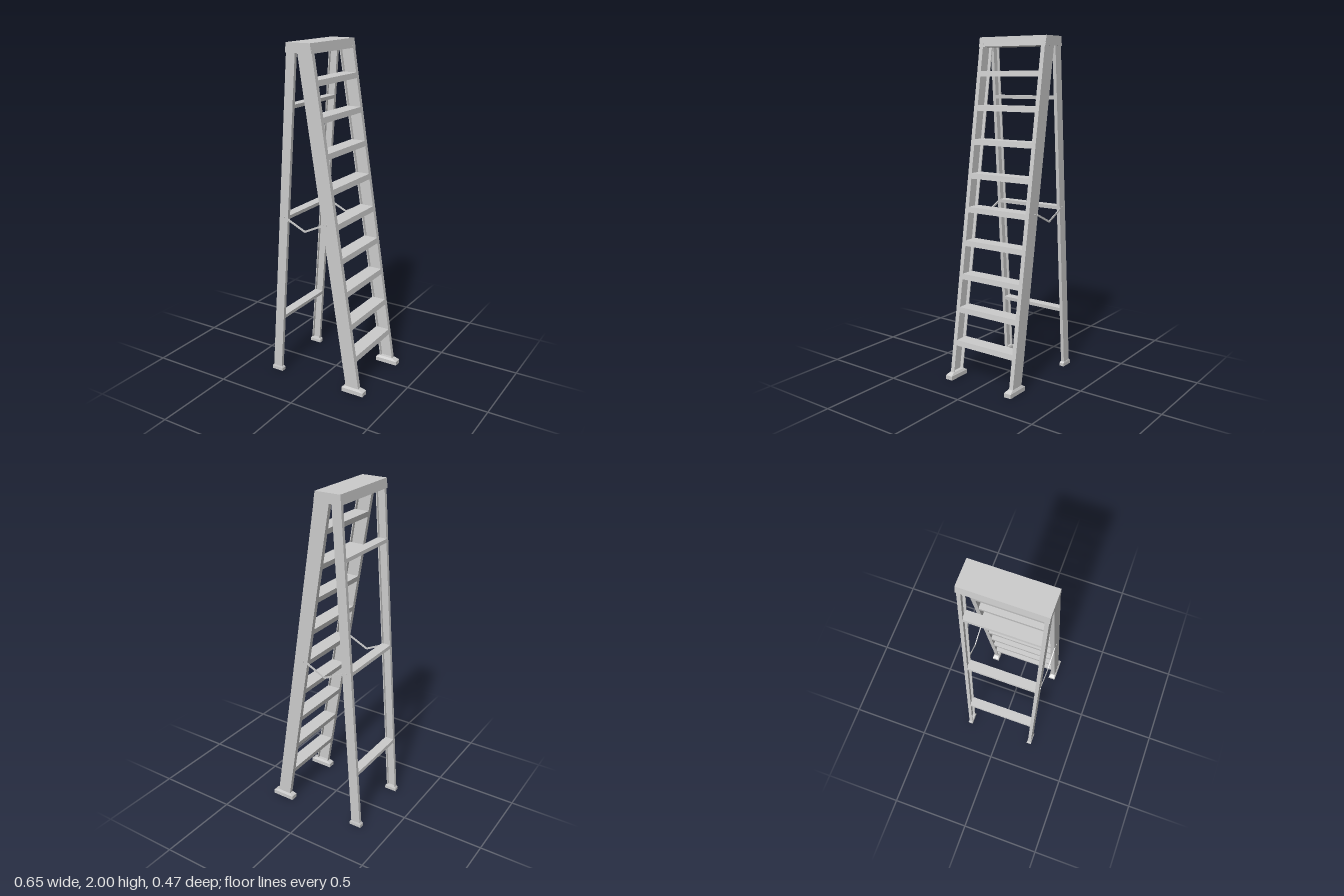
import * as THREE from 'three';

const material = new THREE.MeshStandardMaterial({ color: 0xcccccc, flatShading: true });

// Edge lines of the two rail pairs: x at y = 0 and x at y = 2
const FRONT = { outer: [0.295, -0.019], inner: [0.21, -0.112], zIn: 0.202 };
const REAR = { outer: [-0.317, -0.172], inner: [-0.259, -0.115], zIn: 0.207 };
const WALL = 0.006;
const Z_OUT = 0.228;

const edgeX = (edge, y) => edge[0] + (edge[1] - edge[0]) * y / 2;

function add(parent, name, geometry) {
  const mesh = new THREE.Mesh(geometry, material);
  mesh.name = name;
  parent.add(mesh);
  return mesh;
}

// Extrude an outline in the xy plane between two z values
function slab(points, z0, z1) {
  const shape = new THREE.Shape(points.map(([x, y]) => new THREE.Vector2(x, y)));
  const geometry = new THREE.ExtrudeGeometry(shape, { depth: z1 - z0, bevelEnabled: false });
  return geometry.translate(0, 0, z0);
}

// Sloping strip between two edge lines
function strip(edgeA, edgeB, y0, y1, z0, z1) {
  return slab([
    [edgeX(edgeA, y0), y0], [edgeX(edgeB, y0), y0],
    [edgeX(edgeB, y1), y1], [edgeX(edgeA, y1), y1],
  ], z0, z1);
}

// C-channel rail, open towards the middle of the ladder
function channelRail(name, rail, side) {
  const group = new THREE.Group();
  group.name = name;
  const span = (a, b) => side > 0 ? [a, b] : [-b, -a];
  const y0 = 0.02, y1 = 1.97;
  const dir = Math.sign(rail.outer[0] - rail.inner[0]);
  const shift = (edge, d) => edge.map(x => x + d);
  add(group, 'railWeb', strip(rail.outer, rail.inner, y0, y1, ...span(Z_OUT - WALL, Z_OUT)));
  const flange = span(rail.zIn, Z_OUT - WALL);
  add(group, 'outerFlange', strip(rail.outer, shift(rail.outer, -dir * WALL), y0, y1, ...flange));
  add(group, 'innerFlange', strip(rail.inner, shift(rail.inner, dir * WALL), y0, y1, ...flange));
  return group;
}

// Tread with lips turned down along both sloping rail edges
function tread(rail, y0, y1, halfWidth) {
  const xs = y => {
    const a = edgeX(rail.inner, y), b = edgeX(rail.outer, y);
    return [Math.min(a, b), Math.max(a, b)];
  };
  const [l0, r0] = xs(y0), [l1, r1] = xs(y1);
  const yu = y1 - WALL;
  const [lu, ru] = xs(yu);
  return slab([
    [l0, y0], [l0 + WALL, y0], [lu + WALL, yu], [ru - WALL, yu],
    [r0 - WALL, y0], [r0, y0], [r1, y1], [l1, y1],
  ], -halfWidth, halfWidth);
}

// Foot pad: straight block whose upper part tapers to the rail
function footPad(x0, x1, z0, z1, height, top) {
  const group = new THREE.Group();
  const lower = height * 0.65;
  const block = new THREE.BoxGeometry(x1 - x0, lower, z1 - z0);
  add(group, 'padBlock', block.translate((x0 + x1) / 2, lower / 2, (z0 + z1) / 2));
  const taper = new THREE.BoxGeometry(1, height - lower, 1);
  const p = taper.attributes.position;
  for (let i = 0; i < p.count; i++) {
    const up = p.getY(i) > 0;
    const [xa, xb, za, zb] = up ? top : [x0, x1, z0, z1];
    p.setXYZ(i, p.getX(i) < 0 ? xa : xb, up ? height : lower, p.getZ(i) < 0 ? za : zb);
  }
  taper.computeVertexNormals();
  add(group, 'padTaper', taper);
  return group;
}

// Flat bar between two points in the xy plane
function bar(a, b, width, depth) {
  const dx = b[0] - a[0], dy = b[1] - a[1];
  return new THREE.BoxGeometry(Math.hypot(dx, dy), width, depth)
    .rotateZ(Math.atan2(dy, dx))
    .translate((a[0] + b[0]) / 2, (a[1] + b[1]) / 2, 0);
}

export function createModel() {
  const model = new THREE.Group();
  model.name = 'stepladder';

  // Top cap
  add(model, 'topCap', slab([[-0.18, 1.945], [-0.011, 1.945], [-0.02, 2], [-0.174, 2]], -0.232, 0.232));

  // Steps between the front rails
  for (let i = 0; i < 9; i++) {
    const top = 0.232 + i * 0.1969;
    add(model, 'step' + (i + 1), tread(FRONT, top - 0.032, top, 0.205));
  }

  // Cross braces between the rear rails
  for (const y of [0.358, 1.001, 1.645]) {
    add(model, 'rearBrace', tread(REAR, y, y + 0.021, 0.212));
  }

  for (const side of [1, -1]) {
    const label = side > 0 ? 'Front' : 'Back';
    model.add(channelRail('stepRail' + label, FRONT, side));
    model.add(channelRail('supportRail' + label, REAR, side));

    // Feet
    const zs = (a, b) => side > 0 ? [a, b] : [-b, -a];
    const stepFoot = footPad(0.18, 0.323, ...zs(0.192, 0.237), 0.038, [0.2, 0.295, ...zs(0.2, 0.23)]);
    stepFoot.name = 'stepRailFoot' + label;
    const supportFoot = footPad(-0.323, -0.248, ...zs(0.202, 0.232), 0.028, [-0.317, -0.255, ...zs(0.205, 0.23)]);
    supportFoot.name = 'supportRailFoot' + label;
    model.add(stepFoot, supportFoot);

    // Folding spreader and its rivets
    const spreader = new THREE.Group();
    spreader.name = 'spreader' + label;
    const hinge = [-0.07, 0.948];
    add(spreader, 'spreaderBar', bar([-0.192, 1.005], hinge, 0.011, 0.005));
    add(spreader, 'spreaderBar', bar(hinge, [0.056, 1.008], 0.011, 0.005));
    for (const x of [-0.211, 0.075]) {
      add(spreader, 'rivet', new THREE.CylinderGeometry(0.005, 0.005, 0.006, 10)
        .rotateX(Math.PI / 2).translate(x, 1.012, side * 0.001));
    }
    spreader.position.z = side * 0.2285;
    model.add(spreader);
  }
  return model;
}
